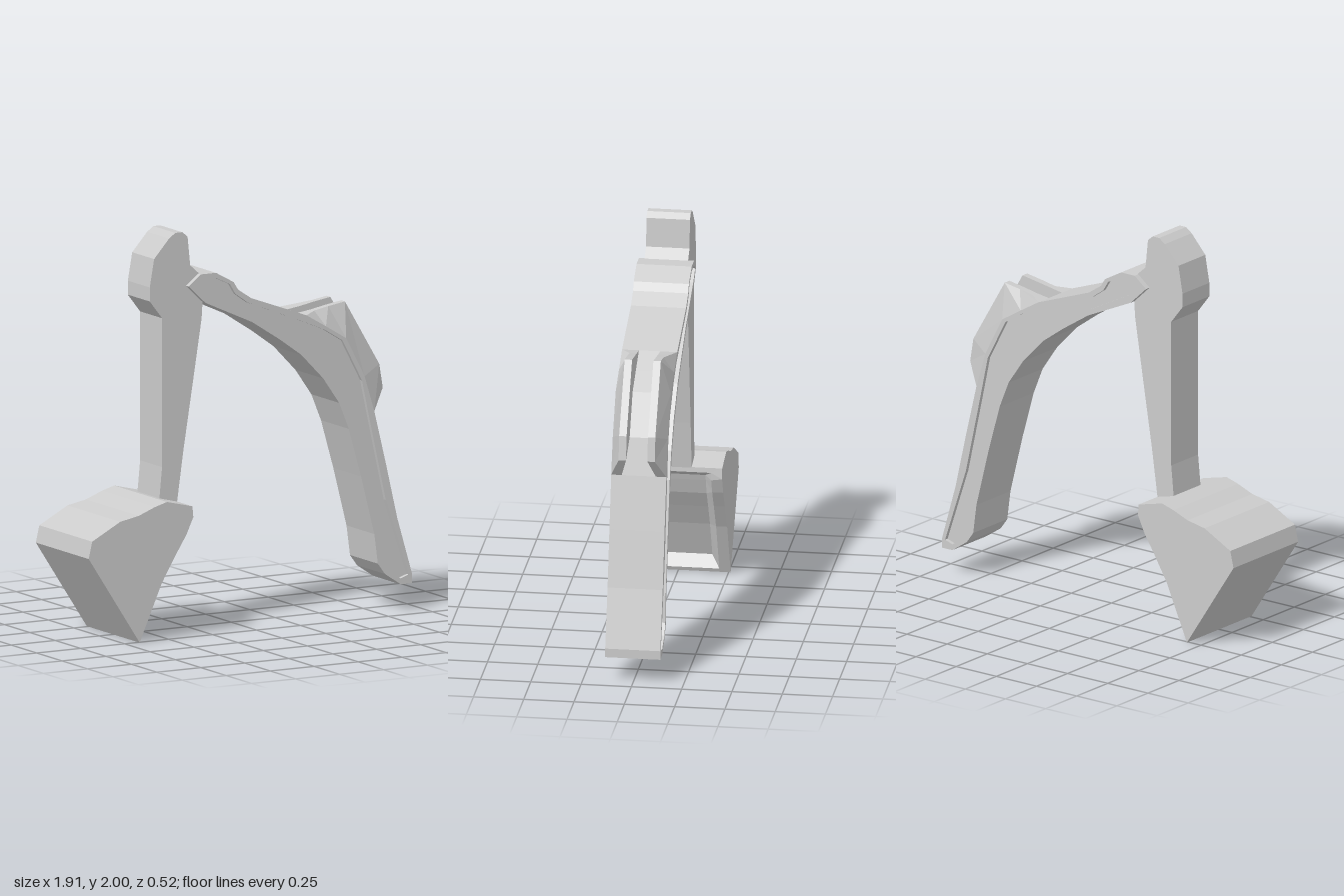
import * as THREE from 'three';

const material = new THREE.MeshStandardMaterial({ color: 0xcccccc, flatShading: true, side: THREE.DoubleSide });

const shapeOf = (pts) => new THREE.Shape(pts.map(([x, y]) => new THREE.Vector2(x, y)));
const atZ = (pts, z) => pts.map(([x, y]) => [x, y, z]);

function addMesh(parent, name, geometry) {
  const mesh = new THREE.Mesh(geometry, material);
  mesh.name = name;
  parent.add(mesh);
  return mesh;
}

// Flat slab of a profile between two z positions
function slab(shape, z0, z1) {
  const g = new THREE.ExtrudeGeometry(shape, { depth: z1 - z0, bevelEnabled: false });
  return g.translate(0, 0, z0);
}

// Faceted skin joining matching rows of points
function loft(rows, closed = false) {
  const pos = [];
  for (let r = 0; r < rows.length - 1; r++) {
    const a = rows[r], b = rows[r + 1], n = a.length;
    for (let i = 0; i < (closed ? n : n - 1); i++) {
      const j = (i + 1) % n;
      pos.push(...a[i], ...a[j], ...b[j], ...a[i], ...b[j], ...b[i]);
    }
  }
  const g = new THREE.BufferGeometry();
  g.setAttribute('position', new THREE.Float32BufferAttribute(pos, 3));
  g.computeVertexNormals();
  return g;
}

// Boom: bent beam with a sunken panel on each side
const boomSaddle = [[0.35, 1.525], [0.46, 1.46], [0.575, 1.39], [0.68, 1.19], [0.735, 1.01]];
const boomOutline = [
  [-0.32, 1.73], [-0.25, 1.785], [-0.165, 1.785], [-0.065, 1.73], [-0.04, 1.69], [0.035, 1.64],
  ...boomSaddle,
  [0.80, 0.745], [0.865, 0.465], [0.95, 0.175], [0.95, 0.13], [0.885, 0.13], [0.795, 0.19],
  [0.755, 0.245], [0.735, 0.395], [0.66, 0.69], [0.59, 0.935], [0.535, 1.07], [0.445, 1.2],
  [0.32, 1.33], [0.195, 1.42], [0.04, 1.52], [-0.225, 1.64],
];
const boomPanel = [
  [-0.29, 1.73], [-0.25, 1.76], [-0.165, 1.76], [-0.085, 1.72], [-0.055, 1.67], [0.015, 1.62],
  [0.345, 1.49], [0.45, 1.445], [0.555, 1.38], [0.665, 1.17], [0.715, 0.94], [0.80, 0.56],
  [0.93, 0.175], [0.885, 0.16], [0.805, 0.205], [0.775, 0.26], [0.76, 0.395], [0.69, 0.67],
  [0.615, 0.95], [0.56, 1.085], [0.47, 1.22], [0.335, 1.355], [0.2, 1.445], [0.045, 1.545],
  [-0.22, 1.68],
];

function makeBoom() {
  const boom = new THREE.Group();
  boom.name = 'boom';
  const half = 0.137, core = half - 0.02;
  addMesh(boom, 'boomCore', slab(shapeOf(boomOutline), -core, core));
  const rim = shapeOf(boomOutline);
  rim.holes.push(shapeOf(boomPanel));
  addMesh(boom, 'boomRimLeft', slab(rim, core, half));
  addMesh(boom, 'boomRimRight', slab(rim, -half, -core));

  // Pair of tapered brackets on the elbow
  const crest = [[0.42, 1.535], [0.5, 1.55], [0.595, 1.565], [0.79, 1.235], [0.81, 1.115]];
  for (const s of [1, -1]) {
    const rows = boomSaddle.map((base, i) => {
      const innerFoot = i === boomSaddle.length - 1 ? 0.085 : 0.053;
      const ring = [
        [...base, s * half], [...crest[i], s * 0.09],
        [...crest[i], s * 0.053], [...base, s * innerFoot],
      ];
      return s > 0 ? ring.reverse() : ring;
    });
    const bracket = new THREE.Group();
    bracket.name = s > 0 ? 'bracketFront' : 'bracketBack';
    addMesh(bracket, 'bracketSkin', loft(rows, true));
    const first = rows[0], last = rows[rows.length - 1];
    addMesh(bracket, 'bracketStart', loft([[first[0], first[1]], [first[3], first[2]]]));
    addMesh(bracket, 'bracketEnd', loft([[last[1], last[0]], [last[2], last[3]]]));
    boom.add(bracket);
  }
  return boom;
}

// Stick: tapered arm with a knuckle head
const stickOutline = [
  [-0.38, 2], [-0.34, 2], [-0.31, 1.975], [-0.295, 1.83], [-0.245, 1.785], [-0.225, 1.64],
  [-0.23, 1.56], [-0.275, 1.275], [-0.335, 0.9], [-0.37, 0.65], [-0.47, 0.68], [-0.455, 0.835],
  [-0.455, 1.58], [-0.525, 1.67], [-0.525, 1.74], [-0.5, 1.88], [-0.415, 1.975],
];

// Bucket: mouth edge runs top to bottom, back runs bottom to top
const mouthEdge = [[-0.37, 0.655], [-0.365, 0.6], [-0.405, 0.515], [-0.465, 0.42], [-0.545, 0.285], [-0.67, 0]];
const mouthInner = [[-0.368, 0.63], [-0.37, 0.59], [-0.405, 0.515], [-0.465, 0.42], [-0.545, 0.285], [-0.661, 0.02]];
const cavityFloor = [[-0.455, 0.585], [-0.465, 0.555], [-0.495, 0.475], [-0.55, 0.385], [-0.615, 0.27], [-0.7, 0.08]];
const bucketBack = [
  [-0.67, 0], [-0.96, 0.445], [-0.94, 0.53], [-0.78, 0.615], [-0.675, 0.635],
  [-0.585, 0.67], [-0.515, 0.69], [-0.37, 0.655],
];

function makeBucket() {
  const bucket = new THREE.Group();
  bucket.name = 'bucket';
  const half = 0.26;
  const ring = (pts, z) => [...atZ(pts, z), ...atZ(pts, -z).reverse()];
  addMesh(bucket, 'bucketShell', loft([atZ(bucketBack, half), atZ(bucketBack, -half)]));
  const side = shapeOf([...mouthEdge, ...bucketBack.slice(1, -1)]);
  for (const s of [1, -1]) {
    addMesh(bucket, s > 0 ? 'bucketSideFront' : 'bucketSideBack',
      new THREE.ShapeGeometry(side).translate(0, 0, s * half));
  }
  // Rim and sloping walls of the hollow, then its floor
  addMesh(bucket, 'bucketMouth', loft([ring(mouthEdge, half), ring(mouthInner, 0.205), ring(cavityFloor, 0.165)], true));
  addMesh(bucket, 'bucketFloor', loft([atZ(cavityFloor, 0.165), atZ(cavityFloor, -0.165)]));
  return bucket;
}

export function createModel() {
  const model = new THREE.Group();
  model.name = 'diggerArm';
  model.add(makeBoom());
  addMesh(model, 'stick', slab(shapeOf(stickOutline), -0.108, 0.108));
  model.add(makeBucket());
  return model;
}
